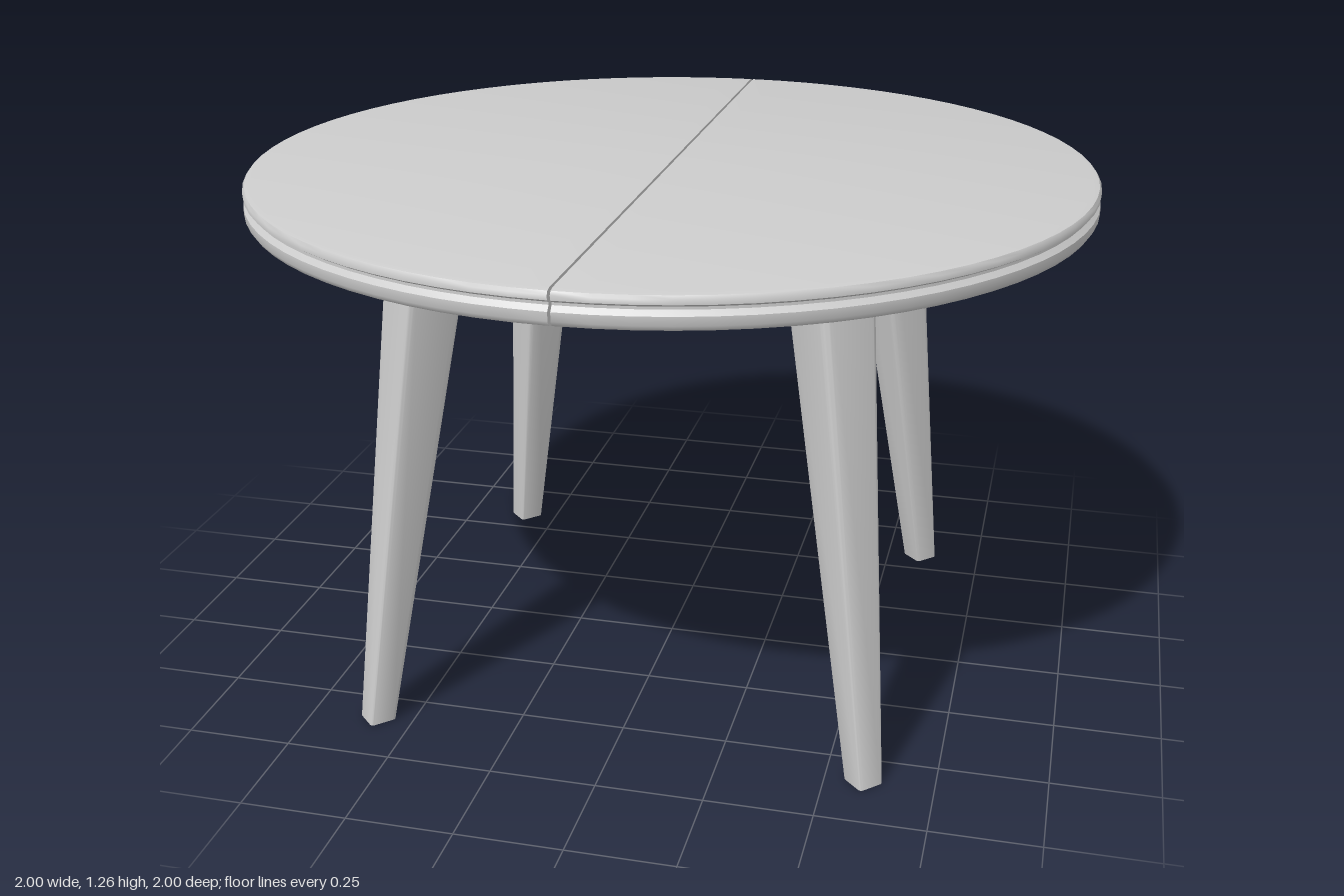
import * as THREE from 'three';
import { toCreasedNormals } from 'three/addons/utils/BufferGeometryUtils.js';

const greyWood = new THREE.MeshStandardMaterial({ color: 0xcccccc });
greyWood.name = 'greyWood';

const LEG_HEIGHT = 1.182;
const SEAM = 0.003; // half the gap between the two halves of the top

// Outline of the top from its underside to its upper face, with a groove in the rim
const rim = [
  [0.975, 1.18], [0.993, 1.186], [1, 1.197], [1, 1.216], [0.99, 1.227],
  [0.99, 1.233], [1, 1.239], [1, 1.25], [0.995, 1.257], [0.982, 1.26],
].map(([r, y]) => new THREE.Vector2(r, y));

function halfTop(name) {
  const half = new THREE.Group();
  half.name = name;

  const profile = [new THREE.Vector2(0, 1.18), ...rim, new THREE.Vector2(0, 1.26)];
  const slab = new THREE.Mesh(
    toCreasedNormals(new THREE.LatheGeometry(profile, 40, 0, Math.PI), 0.7), greyWood);
  slab.name = 'halfRoundSlab';

  // Flat face along the seam
  const mirrored = rim.map((p) => new THREE.Vector2(-p.x, p.y)).reverse();
  const cut = new THREE.Mesh(new THREE.ShapeGeometry(new THREE.Shape([...rim, ...mirrored])), greyWood);
  cut.name = 'seamFace';
  cut.rotation.y = -Math.PI / 2;

  for (const part of [slab, cut]) {
    part.position.x = SEAM;
    half.add(part);
  }
  slab.scale.x = 1 - SEAM;
  return half;
}

// Square leg with rounded corners, tapered and splayed outward along +x
function legGeometry() {
  const h = 0.075, r = 0.02;
  const s = new THREE.Shape();
  s.absarc(h - r, h - r, r, 0, Math.PI / 2);
  s.absarc(r - h, h - r, r, Math.PI / 2, Math.PI);
  s.absarc(r - h, r - h, r, Math.PI, Math.PI * 1.5);
  s.absarc(h - r, r - h, r, Math.PI * 1.5, Math.PI * 2);
  const geo = new THREE.ExtrudeGeometry(s, { depth: LEG_HEIGHT, bevelEnabled: false, curveSegments: 4 });
  geo.rotateX(-Math.PI / 2);
  const pos = geo.attributes.position;
  for (let i = 0; i < pos.count; i++) {
    const t = pos.getY(i) / LEG_HEIGHT;
    const width = THREE.MathUtils.lerp(0.435, 1, t);
    const reach = THREE.MathUtils.lerp(0.588, 0.449, t) * Math.SQRT2;
    pos.setX(i, pos.getX(i) * width + reach);
    pos.setZ(i, pos.getZ(i) * width);
  }
  return toCreasedNormals(geo, 0.6);
}

export function createModel() {
  const table = new THREE.Group();
  table.name = 'roundTable';

  const left = halfTop('leftTop');
  const right = halfTop('rightTop');
  right.rotation.y = Math.PI;
  table.add(left, right);

  // Four legs on the diagonals
  const geo = legGeometry();
  ['backLeftLeg', 'backRightLeg', 'frontRightLeg', 'frontLeftLeg'].forEach((name, i) => {
    const leg = new THREE.Mesh(geo, greyWood);
    leg.name = name;
    leg.rotation.y = Math.PI / 4 + i * Math.PI / 2;
    table.add(leg);
  });
  return table;
}
